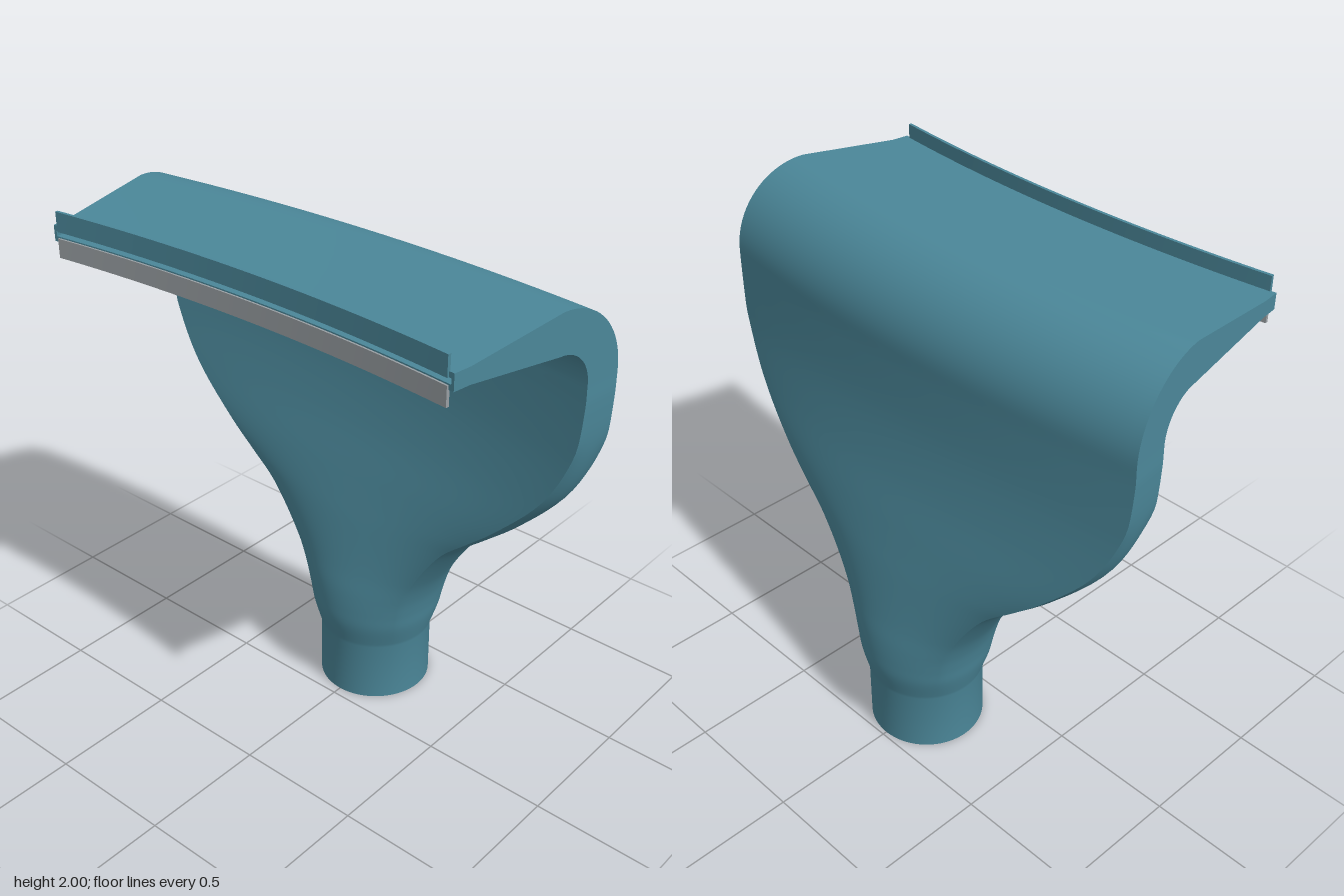
import * as THREE from 'three';
import { toCreasedNormals } from 'three/addons/utils/BufferGeometryUtils.js';

const ARC_CENTRE = 7.57, SPINE_Z = -0.26, SPINE_R = ARC_CENTRE - SPINE_Z;
const WIDTH = 0.967, THICK = 0.075, WALL = 0.012;

// Wraps a straight layout onto the wide arc that the whole nozzle follows
function wrap(u, y, z) {
  const t = u / SPINE_R, r = ARC_CENTRE - z;
  return [r * Math.sin(t), y, ARC_CENTRE - r * Math.cos(t)];
}

// Stations along the duct: spine y/z, bend angle, half width, half depth, squareness
function makeStations() {
  const list = [];
  const add = (y, z, phi, w, d, b, innerD = d - WALL) => list.push({ y, z, phi, w, d, b, innerD });
  add(0, SPINE_Z, 0, 0.223, 0.223, 0);
  // round pipe flaring into a flat fan
  const flare = new THREE.CatmullRomCurve3([
    [0.223, 0.25, 0.223], [0.25, 0.35, 0.242], [0.262, 0.42, 0.243], [0.282, 0.5, 0.237],
    [0.325, 0.6, 0.22], [0.46, 0.8, 0.185], [0.575, 0.9, 0.165], [0.69, 1.0, 0.145],
    [0.865, 1.2, 0.106], [0.945, 1.4, 0.082], [WIDTH, 1.6, THICK], [WIDTH, 1.69, THICK],
  ].map(p => new THREE.Vector3(...p)));
  for (const p of flare.getPoints(66)) {
    add(p.y, SPINE_Z, 0, p.x, p.z, THREE.MathUtils.clamp((p.y - 0.25) / 1.2, 0, 1));
  }
  // forward bend
  const bendR = 0.225, bendZ = SPINE_Z + bendR;
  for (let i = 1; i <= 20; i++) {
    const phi = i / 20 * Math.PI / 2;
    add(1.69 + bendR * Math.sin(phi), bendZ - bendR * Math.cos(phi), phi, WIDTH, THICK, 1);
  }
  // taper to the slot lip
  add(1.915, 0.37, Math.PI / 2, WIDTH, 0.03, 1, 0.01);
  add(1.915, 0.438, Math.PI / 2, WIDTH, 0.03, 1, 0.01);
  return list;
}

// Ring angles, with points exactly on the four corners
const CORNER = Math.PI / 6;
function ringAngles() {
  const out = [];
  const span = (a, b, n) => { for (let i = 0; i < n; i++) out.push(a + (b - a) * i / n); };
  span(-CORNER, CORNER, 12);
  span(CORNER, Math.PI - CORNER, 40);
  span(Math.PI - CORNER, Math.PI + CORNER, 12);
  span(Math.PI + CORNER, 2 * Math.PI - CORNER, 40);
  return out;
}

// Hollow shell: outer skin up to the slot, then the inner skin back down
function ductGeometry() {
  const angles = ringAngles(), n = angles.length, stations = makeStations();
  const rings = [
    ...stations.map(s => ({ s, w: s.w, d: s.d })),
    ...stations.slice().reverse().map(s => ({ s, w: s.w - WALL, d: s.innerD })),
  ];
  const pos = [], idx = [];
  const clamp = v => THREE.MathUtils.clamp(v, -1, 1);
  for (const { s, w, d } of rings) {
    for (const a of angles) {
      const c = Math.cos(a), q = Math.sin(a);
      const u = w * THREE.MathUtils.lerp(c, clamp(c / Math.cos(CORNER)), s.b);
      const v = d * THREE.MathUtils.lerp(q, clamp(q / Math.sin(CORNER)), s.b);
      pos.push(...wrap(u, s.y - v * Math.sin(s.phi), s.z + v * Math.cos(s.phi)));
    }
  }
  for (let i = 0; i < rings.length; i++) {
    const k = (i + 1) % rings.length;
    for (let j = 0; j < n; j++) {
      const m = (j + 1) % n;
      const a = i * n + j, b = k * n + j, c = i * n + m, e = k * n + m;
      idx.push(a, b, c, c, b, e);
    }
  }
  const g = new THREE.BufferGeometry();
  g.setAttribute('position', new THREE.Float32BufferAttribute(pos, 3));
  g.setIndex(idx);
  return toCreasedNormals(g, 0.45);
}

// Thin strip following the arc of the lip
function stripGeometry(y0, y1) {
  const g = new THREE.BoxGeometry(1.888, y1 - y0, 0.012, 32, 1, 1);
  g.translate(0, (y0 + y1) / 2, 0.439);
  const p = g.attributes.position;
  for (let i = 0; i < p.count; i++) p.setXYZ(i, ...wrap(p.getX(i), p.getY(i), p.getZ(i)));
  return toCreasedNormals(g, 0.45);
}

export function createModel() {
  const teal = new THREE.MeshStandardMaterial({ color: 0x4b8799 });
  teal.name = 'teal';
  const grey = new THREE.MeshStandardMaterial({ color: 0x999fa3 });
  grey.name = 'grey';

  const group = new THREE.Group();
  group.name = 'nozzle';
  const add = (name, geometry, material) => {
    const mesh = new THREE.Mesh(geometry, material);
    mesh.name = name;
    group.add(mesh);
  };
  add('duct', ductGeometry(), teal);
  add('upperLipStrip', stripGeometry(1.925, 2.0), teal);
  add('lowerLipStrip', stripGeometry(1.828, 1.9), grey);
  return group;
}
